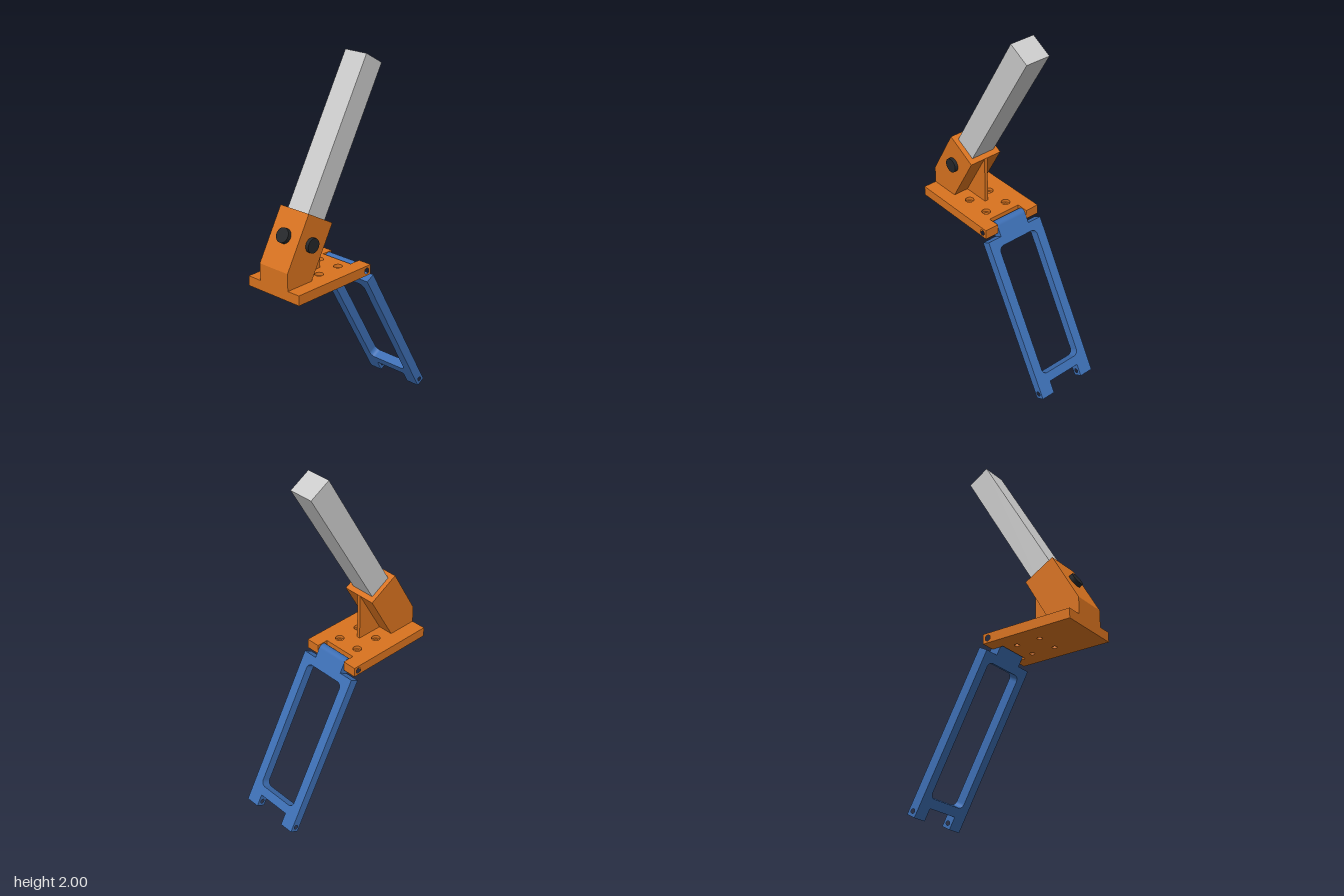
import * as THREE from 'three';

const mat = (color) => new THREE.MeshStandardMaterial({ color });
const orange = mat(0xd9731f), blue = mat(0x3d6fb5), black = mat(0x24272a), grey = mat(0xcccccc);

function add(parent, name, geometry, material) {
  const mesh = new THREE.Mesh(geometry, material);
  mesh.name = name;
  parent.add(mesh);
  return mesh;
}

const polygon = (pts) => new THREE.Shape(pts.map(([x, y]) => new THREE.Vector2(x, y)));
const circle = (x, y, r) => new THREE.Path().absarc(x, y, r, 0, Math.PI * 2, true);
const extrude = (shape, depth) =>
  new THREE.ExtrudeGeometry(shape, { depth, bevelEnabled: false, curveSegments: 16 });

// Side profile given as (z, y), extruded from x0 to x1
function sideGeo(pts, x0, x1, bore) {
  const shape = polygon(pts.map(([z, y]) => [-z, y]));
  if (bore) shape.holes.push(circle(-bore[0], bore[1], bore[2]));
  return extrude(shape, x1 - x0).rotateY(Math.PI / 2).translate(x0, 0, 0);
}

function roundedWindow(w, y0, y1, r) {
  const p = new THREE.Path();
  p.absarc(w - r, y1 - r, r, 0, Math.PI / 2);
  p.absarc(-w + r, y1 - r, r, Math.PI / 2, Math.PI);
  p.absarc(-w + r, y0 + r, r, Math.PI, Math.PI * 1.5);
  p.absarc(w - r, y0 + r, r, Math.PI * 1.5, Math.PI * 2);
  p.closePath();
  return p;
}

const W = 0.181, NOTCH = 0.1, HINGE_Y = 0.877;

function buildBase() {
  const base = new THREE.Group();
  base.name = 'base';
  // Plate in two layers, so the screw holes are counterbored
  for (const [name, y, h, r] of [['plateLower', 0.85, 0.037, 0.014], ['plateUpper', 0.887, 0.018, 0.024]]) {
    const shape = polygon([[-W, -0.505], [W, -0.505], [W, -0.037], [-W, -0.037]]);
    for (const x of [-0.066, 0.07]) for (const z of [0.103, 0.245]) shape.holes.push(circle(x, -z, r));
    add(base, name, extrude(shape, h).rotateX(-Math.PI / 2).translate(0, y, 0), orange);
  }
  // Hinge ears either side of the notch
  const ear = [[-0.03, 0.85], [0.037, 0.85], [0.037, 0.905], [-0.03, 0.905]];
  for (const [x0, x1] of [[-W, -NOTCH], [NOTCH, W]])
    add(base, 'hingeEar', sideGeo(ear, x0, x1, [0, HINGE_Y, 0.016]), orange);
  // Slanted socket and the web beneath it
  const socket = [[0.505, 0.904], [0.505, 1.0], [0.35, 1.275], [0.18, 1.18], [0.335, 0.904]];
  add(base, 'socket', sideGeo(socket, -0.095, 0.104), orange);
  add(base, 'supportWeb', sideGeo([[0.18, 0.904], [0.335, 0.904], [0.18, 1.18]], -0.006, 0.014), orange);
  return base;
}

function buildLink() {
  const link = new THREE.Group();
  link.name = 'swingLink';
  const T = 0.0275, END = -0.985, PIN = -0.957;
  // Frame with a rounded window
  const frame = polygon([[-W, -0.915], [W, -0.915], [W, -0.059], [-W, -0.059]]);
  frame.holes.push(roundedWindow(0.128, -0.863, -0.108, 0.03));
  add(link, 'linkFrame', extrude(frame, 2 * T).translate(0, 0, -T), blue);
  // Rounded hinge tongue
  const tongue = [[T, -0.059], [-T, -0.059]];
  for (let i = 0; i <= 16; i++) {
    const a = Math.PI * (1 - i / 16);
    tongue.push([T * Math.cos(a), T * Math.sin(a)]);
  }
  add(link, 'hingeTongue', sideGeo(tongue, -0.096, 0.096, [0, 0, 0.011]), blue);
  // Bored feet at the lower end
  const foot = [[-T, END], [T, END], [T, -0.915], [-T, -0.915]];
  for (const [x0, x1] of [[-W, -NOTCH], [NOTCH, W]])
    add(link, 'foot', sideGeo(foot, x0, x1, [0, PIN, 0.012]), blue);
  link.position.y = HINGE_Y;
  link.rotation.x = THREE.MathUtils.degToRad(29.2);
  return link;
}

export function createModel() {
  const model = new THREE.Group();
  model.name = 'hingedPost';
  model.add(buildBase(), buildLink());

  // Square post seated in the socket
  const length = 1.07, tilt = -Math.PI / 6;
  const post = add(model, 'post', new THREE.BoxGeometry(0.144, length, 0.134).translate(0, -length / 2, 0), grey);
  post.position.set(0.003, 1.967, -0.162);
  post.rotation.x = tilt;

  // Clamping knobs
  const disc = () => new THREE.CylinderGeometry(0.04, 0.04, 0.04, 32);
  const frontKnob = add(model, 'frontKnob', disc(), black);
  frontKnob.position.set(0.004, 1.152, 0.422);
  frontKnob.rotation.x = Math.PI / 2 + tilt;
  const sideKnob = add(model, 'sideKnob', disc(), black);
  sideKnob.position.set(0.103, 1.105, 0.336);
  sideKnob.rotation.z = Math.PI / 2;
  return model;
}
